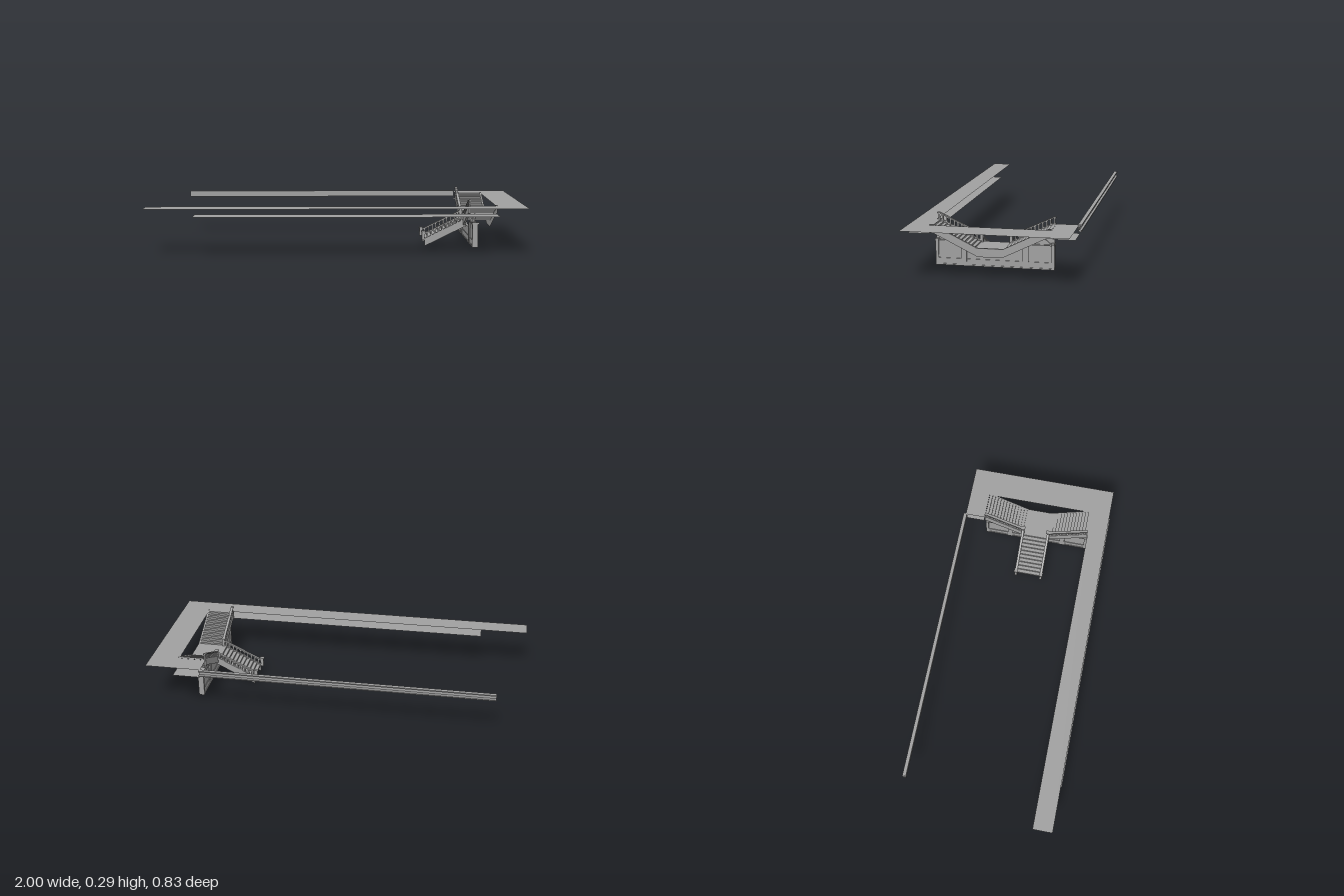
import * as THREE from 'three';

const mat = new THREE.MeshStandardMaterial({ color: 0xa0a0a0, flatShading: true, side: THREE.DoubleSide });

function add(parent, geo, name) {
  const m = new THREE.Mesh(geo, mat);
  m.name = name;
  parent.add(m);
  return m;
}

function box(parent, name, x0, x1, y0, y1, z0, z1) {
  const m = add(parent, new THREE.BoxGeometry(x1 - x0, y1 - y0, z1 - z0), name);
  m.position.set((x0 + x1) / 2, (y0 + y1) / 2, (z0 + z1) / 2);
}

const shapeOf = pts => new THREE.Shape(pts.map(p => new THREE.Vector2(p[0], p[1])));

// outline in (x, y), thickness along z
function slabZ(parent, name, pts, z0, z1) {
  const g = new THREE.ExtrudeGeometry(shapeOf(pts), { depth: z1 - z0, bevelEnabled: false });
  g.translate(0, 0, z0);
  add(parent, g, name);
}

// outline in (z, y), thickness along x
function slabX(parent, name, pts, x0, x1) {
  const g = new THREE.ExtrudeGeometry(shapeOf(pts), { depth: x1 - x0, bevelEnabled: false });
  g.rotateY(-Math.PI / 2);
  g.translate(x1, 0, 0);
  add(parent, g, name);
}

// thin upright sheet from an outline in (z, y), facing +x
function sheetX(parent, name, pts, x) {
  const g = new THREE.ShapeGeometry(shapeOf(pts.map(([z, y]) => [-z, y])));
  g.rotateY(Math.PI / 2);
  g.translate(x, 0, 0);
  add(parent, g, name);
}

// thin horizontal sheet from an outline in (x, z), facing up
function sheetY(parent, name, pts, y) {
  const g = new THREE.ShapeGeometry(shapeOf(pts.map(([x, z]) => [x, -z])));
  g.rotateX(-Math.PI / 2);
  g.translate(0, y, 0);
  add(parent, g, name);
}

// open surface sweeping a 3D polyline along a vector
function ribbon(parent, name, pts, along) {
  const pos = [];
  for (let i = 0; i + 1 < pts.length; i++) {
    const a = new THREE.Vector3(...pts[i]), b = new THREE.Vector3(...pts[i + 1]);
    const c = b.clone().add(along), d = a.clone().add(along);
    for (const v of [a, b, c, a, c, d]) pos.push(v.x, v.y, v.z);
  }
  const g = new THREE.BufferGeometry();
  g.setAttribute('position', new THREE.Float32BufferAttribute(pos, 3));
  g.computeVertexNormals();
  add(parent, g, name);
}

// stepped profile as [run, height] pairs
function stepProfile(s0, y0, s1, y1, n) {
  const out = [[s0, y0]];
  for (let i = 0; i < n; i++) {
    const y = y0 + (y1 - y0) * (i + 1) / n;
    out.push([s0 + (s1 - s0) * i / n, y], [s0 + (s1 - s0) * (i + 1) / n, y]);
  }
  return out;
}

function group(parent, name) {
  const g = new THREE.Group();
  g.name = name;
  parent.add(g);
  return g;
}

export function createModel() {
  const root = new THREE.Group();

  // upper deck around the stairwell, with the lower ceiling sheets
  const deck = group(root, 'deck');
  sheetY(deck, 'upperFloor', [[-1, 0.3], [-1, 0.405], [1, 0.405], [1, -0.405], [0.7, -0.405],
    [0.7, -0.295], [0.845, -0.295], [0.845, 0.297], [0.7, 0.297], [0.7, 0.3]], 0.25);
  sheetY(deck, 'frontCeiling', [[-0.745, 0.3], [-0.745, 0.41], [0.85, 0.41], [0.85, 0.3]], 0.208);
  sheetY(deck, 'backCeiling', [[0.7, -0.41], [0.7, -0.3], [0.85, -0.3], [0.85, -0.41]], 0.208);

  // long open-ended channel beam, flat towards the front
  const channel = [[-0.418, 0.244], [-0.418, 0.25], [-0.399, 0.25], [-0.399, 0.217],
    [-0.418, 0.217], [-0.418, 0.223], [-0.408, 0.226], [-0.408, 0.241], [-0.418, 0.244]];
  ribbon(root, 'longBeam', channel.map(([z, y]) => [-0.855, y, z]), new THREE.Vector3(1.56, 0, 0));

  const staircase = group(root, 'staircase');
  staircase.position.z = 0.003;

  // lower flight
  const lower = group(staircase, 'lowerFlight');
  ribbon(lower, 'lowerSteps', stepProfile(0.492, 0.034, 0.705, 0.144, 11).map(([x, y]) => [x, y, 0.068]),
    new THREE.Vector3(0, 0, -0.136));
  for (const s of [-1, 1]) {
    const z0 = s * 0.073 - 0.006, z1 = s * 0.073 + 0.006;
    slabZ(lower, 'lowerStringer', [[0.49, 0], [0.705, 0.107], [0.705, 0.15], [0.49, 0.043]], z0, z1);
    slabZ(lower, 'lowerHandrail', [[0.485, 0.064], [0.705, 0.172], [0.705, 0.18], [0.485, 0.072]], z0 - 0.001, z1 + 0.001);
    for (let i = 0; i < 10; i++) {
      const x = 0.505 + i * 0.0205, y = 0.045 + (x - 0.49) * 0.495;
      box(lower, 'lowerBaluster', x - 0.004, x + 0.004, y - 0.004, y + 0.025, z0 + 0.002, z1 - 0.002);
    }
    box(lower, 'lowerNewel', 0.474, 0.49, 0.034, 0.08, z0 - 0.001, z1 + 0.001);
    box(lower, 'lowerNewelCap', 0.47, 0.494, 0.08, 0.085, z0 - 0.004, z1 + 0.004);
  }

  // landing, with a thin outer stringer carrying a top edge
  const landing = group(staircase, 'landing');
  sheetY(landing, 'landingFloor', [[0.7, -0.08], [0.7, 0.08], [0.85, 0.08], [0.85, -0.08]], 0.144);
  const topEdge = [[0.297, 0.255], [0.282, 0.255], [0.064, 0.148],
    [-0.064, 0.148], [-0.282, 0.255], [-0.297, 0.255]];
  const lowEdge = [[-0.297, 0.212], [-0.278, 0.212], [-0.06, 0.105],
    [0.06, 0.105], [0.278, 0.212], [0.297, 0.212]];
  sheetX(landing, 'outerStringer', [...lowEdge, ...topEdge], 0.851);
  ribbon(landing, 'outerStringerTop', topEdge.map(([z, y]) => [0.841, y, z]), new THREE.Vector3(0.01, 0, 0));

  // two upper flights
  for (const s of [-1, 1]) {
    const flight = group(staircase, s > 0 ? 'frontUpperFlight' : 'backUpperFlight');
    const flip = pts => pts.map(([z, y]) => [z * s, y]);
    ribbon(flight, 'upperSteps', stepProfile(0.075, 0.144, 0.297, 0.25, 13).map(([z, y]) => [0.705, y, z * s]),
      new THREE.Vector3(0.145, 0, 0));
    slabX(flight, 'innerStringer', flip([[0.067, 0.109], [0.278, 0.212], [0.297, 0.212],
      [0.297, 0.255], [0.282, 0.255], [0.067, 0.15]]), 0.699, 0.71);
    slabX(flight, 'upperHandrail', flip([[0.08, 0.182], [0.287, 0.28], [0.297, 0.28],
      [0.297, 0.286], [0.287, 0.286], [0.08, 0.189]]), 0.697, 0.712);
    for (let i = 0; i < 11; i++) {
      const z = 0.097 + i * 0.0192, y = 0.15 + (z - 0.067) * 0.488;
      box(flight, 'upperBaluster', 0.701, 0.709, y - 0.004, y + 0.028, s * z - 0.004, s * z + 0.004);
    }
    box(flight, 'landingNewel', 0.697, 0.712, 0.107, 0.186, s * 0.074 - 0.008, s * 0.074 + 0.008);
    box(flight, 'landingNewelCap', 0.694, 0.715, 0.186, 0.19, s * 0.074 - 0.012, s * 0.074 + 0.012);
  }

  // supporting wall below the stairs
  const wall = group(staircase, 'supportWall');
  slabX(wall, 'wallPanel', [[-0.285, 0.03], [0.285, 0.03], [0.285, 0.15], [0.25, 0.18], [0.212, 0.18],
    [0.06, 0.106], [-0.06, 0.106], [-0.212, 0.18], [-0.25, 0.18], [-0.285, 0.15]], 0.727, 0.742);
  box(wall, 'baseboard', 0.724, 0.746, 0.03, 0.065, -0.285, 0.285);
  box(wall, 'plinth', 0.721, 0.749, 0.03, 0.037, -0.285, 0.285);
  for (const s of [-1, 1]) {
    const part = (name, x0, x1, y0, y1, a, b) =>
      box(wall, name, x0, x1, y0, y1, Math.min(a * s, b * s), Math.max(a * s, b * s));
    sheetX(wall, 'wallInfill', [[0.15, 0.149], [0.297, 0.149], [0.297, 0.212], [0.278, 0.212]]
      .map(([z, y]) => [z * s, y]), 0.734);
    part('endPillar', 0.72, 0.75, 0.03, 0.152, 0.282, 0.297);
    part('endPillarCap', 0.717, 0.756, 0.152, 0.163, 0.28, 0.297);
    part('innerPilaster', 0.72, 0.75, 0.03, 0.145, 0.14, 0.168);
    part('wallCornice', 0.722, 0.748, 0.149, 0.155, 0.168, 0.28);
  }
  return root;
}
